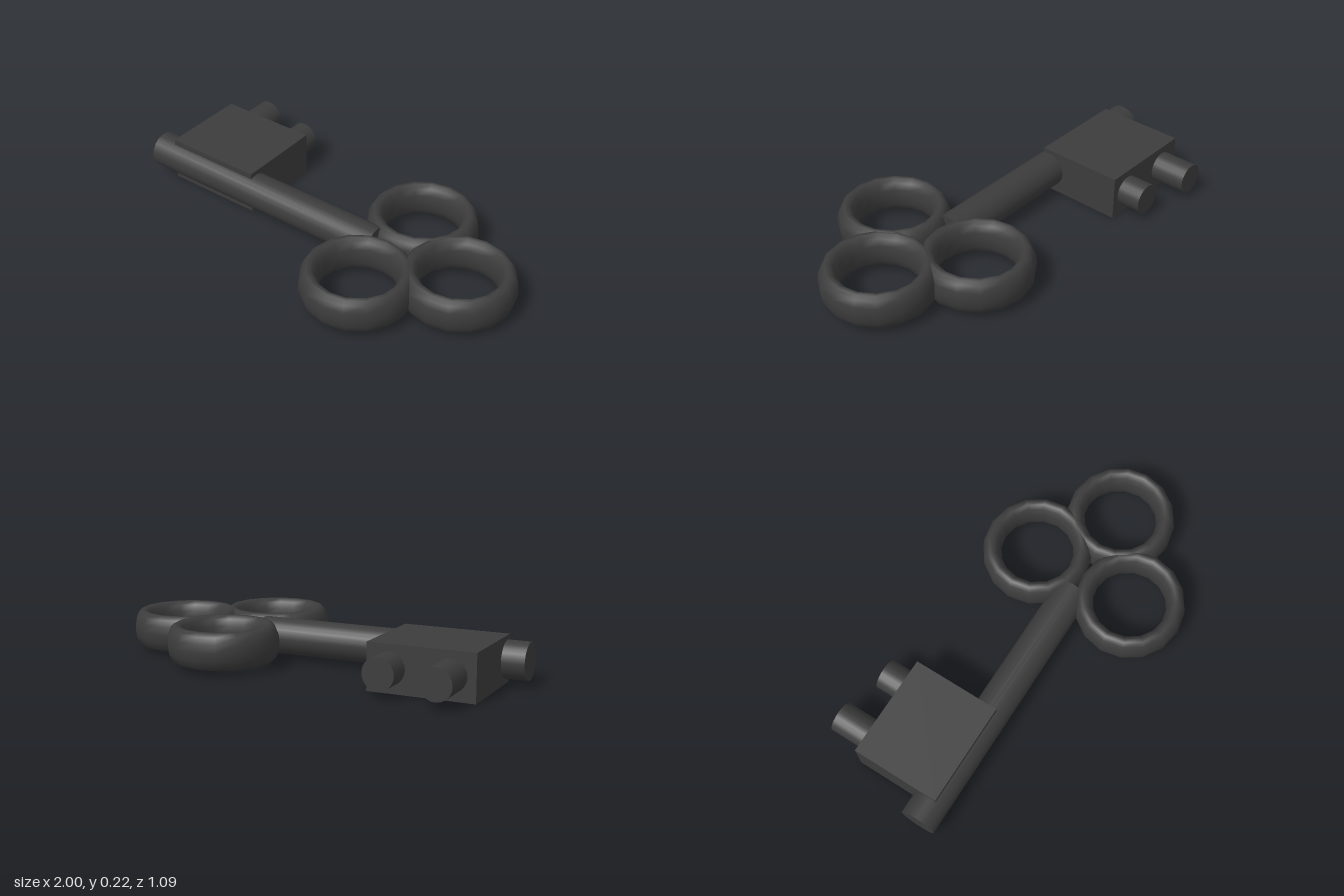
import * as THREE from 'three';

const material = new THREE.MeshStandardMaterial({ color: 0x3c3c3c });
const MID_Y = 0.109;

function add(group, name, geometry, x, y, z) {
  const mesh = new THREE.Mesh(geometry, material);
  mesh.name = name;
  mesh.position.set(x, y, z);
  group.add(mesh);
  return mesh;
}

export function createModel() {
  const key = new THREE.Group();
  key.name = 'key';

  // Round shaft along x, ending between the rings
  const shaft = new THREE.CylinderGeometry(0.085, 0.085, 1.3, 24).rotateZ(Math.PI / 2);
  add(key, 'shaft', shaft, -0.35, MID_Y, 0.019);

  // Bow: three rings, stretched vertically to the thickness of the shaft
  const ring = new THREE.TorusGeometry(0.217, 0.0437, 14, 16)
    .rotateX(Math.PI / 2)
    .scale(1, 2.01, 1);
  const bow = new THREE.Group();
  bow.name = 'bow';
  key.add(bow);
  add(bow, 'backRing', ring, 0.385, MID_Y, -0.23);
  add(bow, 'frontRing', ring, 0.385, MID_Y, 0.28);
  add(bow, 'endRing', ring, 0.737, MID_Y, 0.02);

  // Bit: square block with two round teeth pointing backwards
  add(key, 'bitBlock', new THREE.BoxGeometry(0.49, 0.215, 0.425), -0.65, 0.1075, -0.162);
  for (const [name, x, tip] of [['longTooth', -0.783, -0.547], ['shortTooth', -0.508, -0.492]]) {
    const root = -0.3;
    const tooth = new THREE.CylinderGeometry(0.073, 0.073, root - tip, 20).rotateX(Math.PI / 2);
    add(key, name, tooth, x, MID_Y, (root + tip) / 2);
  }

  return key;
}
